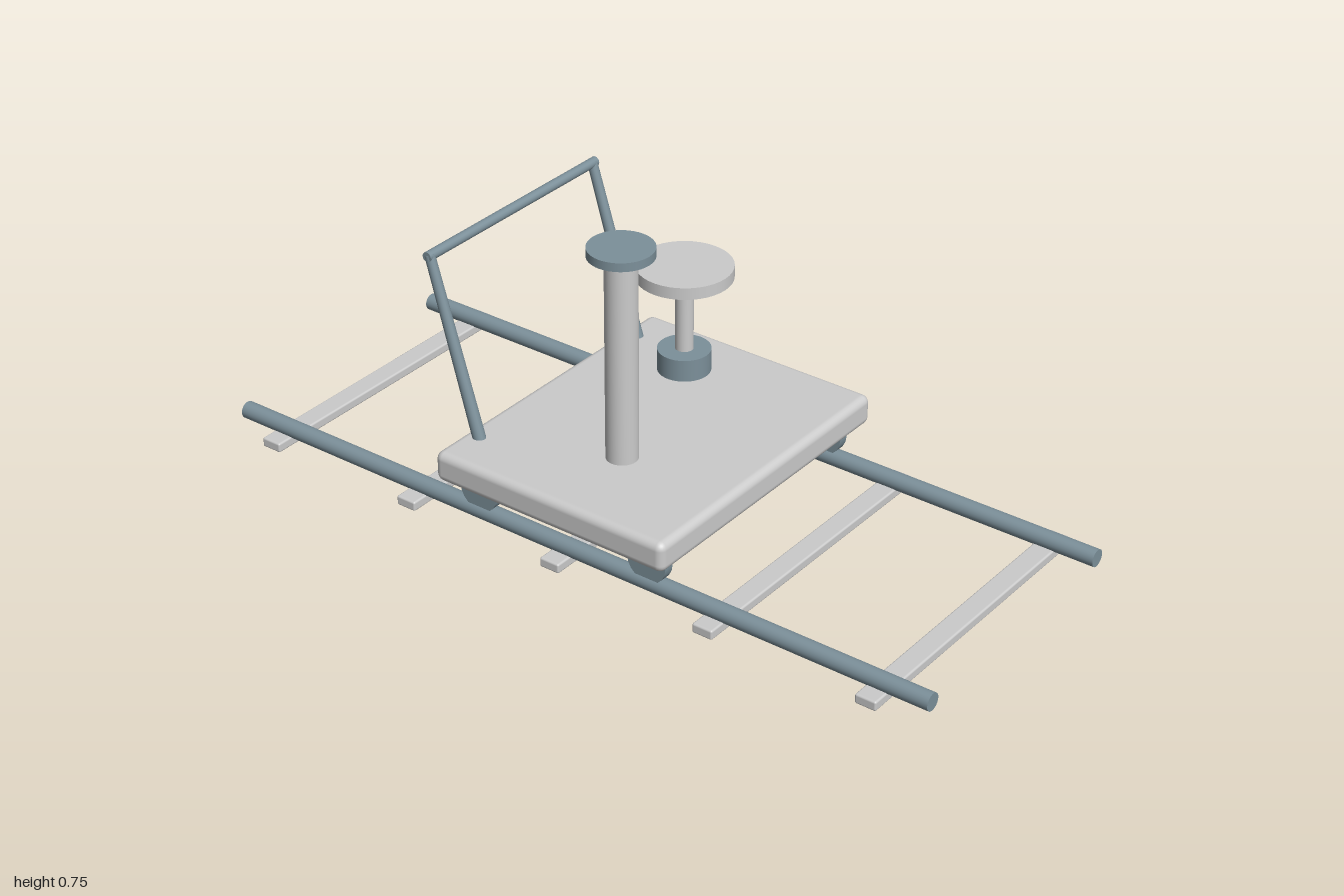
import * as THREE from 'three';
import { RoundedBoxGeometry } from 'three/addons/geometries/RoundedBoxGeometry.js';

const grey = new THREE.MeshStandardMaterial({ color: 0xcccccc });
const steel = new THREE.MeshStandardMaterial({ color: 0x7c909a });

export function createModel() {
  const root = new THREE.Group();

  function add(name, geometry, material, x, y, z, parent = root) {
    const mesh = new THREE.Mesh(geometry, material);
    mesh.name = name;
    mesh.position.set(x, y, z);
    parent.add(mesh);
    return mesh;
  }

  // Upright disc or post between two heights
  function post(name, radius, y0, y1, x, z, material, parent) {
    const geometry = new THREE.CylinderGeometry(radius, radius, y1 - y0, 40);
    return add(name, geometry, material, x, (y0 + y1) / 2, z, parent);
  }

  // Rod from a to b, with its own radius at each end
  function rod(name, a, b, ra, rb, parent) {
    const dir = b.clone().sub(a);
    const mid = a.clone().add(b).multiplyScalar(0.5);
    const mesh = add(name, new THREE.CylinderGeometry(rb, ra, dir.length(), 16), steel, mid.x, mid.y, mid.z, parent);
    mesh.quaternion.setFromUnitVectors(new THREE.Vector3(0, 1, 0), dir.normalize());
  }

  // Track: two round rails on five sleepers
  const track = new THREE.Group();
  track.name = 'track';
  root.add(track);
  for (let i = -2; i <= 2; i++) {
    add('sleeper', new RoundedBoxGeometry(0.81, 0.025, 0.055, 2, 0.005), grey, 0, 0.0125, i * 0.434, track);
  }
  for (const side of [-1, 1]) {
    const rail = new THREE.CylinderGeometry(0.022, 0.022, 2, 24).rotateX(Math.PI / 2);
    add('rail', rail, steel, side * 0.345, 0.0385, 0, track);
  }

  // Cart deck
  add('deck', new RoundedBoxGeometry(0.828, 0.078, 0.66, 3, 0.02), grey, 0, 0.161, 0);

  // Wheels with small hubs
  for (const x of [-0.346, 0.346]) {
    for (const z of [-0.245, 0.245]) {
      const wheel = new THREE.Group();
      wheel.name = 'wheel';
      wheel.position.set(x, 0.098, z);
      root.add(wheel);
      add('tyre', new THREE.CylinderGeometry(0.054, 0.054, 0.027, 20).rotateZ(Math.PI / 2), steel, 0, 0, 0, wheel);
      add('hub', new THREE.CylinderGeometry(0.013, 0.013, 0.034, 12).rotateZ(Math.PI / 2), steel, 0, 0, 0, wheel);
    }
  }

  // Tall capped column
  const column = new THREE.Group();
  column.name = 'column';
  root.add(column);
  post('columnShaft', 0.039, 0.195, 0.726, -0.168, 0.03, grey, column);
  post('columnCap', 0.079, 0.725, 0.747, -0.168, 0.03, steel, column);

  // Round stool
  const stool = new THREE.Group();
  stool.name = 'stool';
  root.add(stool);
  post('stoolBase', 0.066, 0.195, 0.257, 0.244, -0.1, steel, stool);
  post('stoolStem', 0.0225, 0.25, 0.456, 0.244, -0.1, grey, stool);
  post('stoolSeat', 0.119, 0.453, 0.484, 0.244, -0.1, grey, stool);

  // Leaning push handle at the back
  const handle = new THREE.Group();
  handle.name = 'pushHandle';
  root.add(handle);
  for (const side of [-1, 1]) {
    rod('handleLeg', new THREE.Vector3(side * 0.301, 0.19, -0.285),
      new THREE.Vector3(side * 0.299, 0.638, -0.421), 0.016, 0.0125, handle);
  }
  rod('handleBar', new THREE.Vector3(-0.31, 0.635, -0.42),
    new THREE.Vector3(0.31, 0.635, -0.42), 0.0125, 0.0125, handle);

  return root;
}
